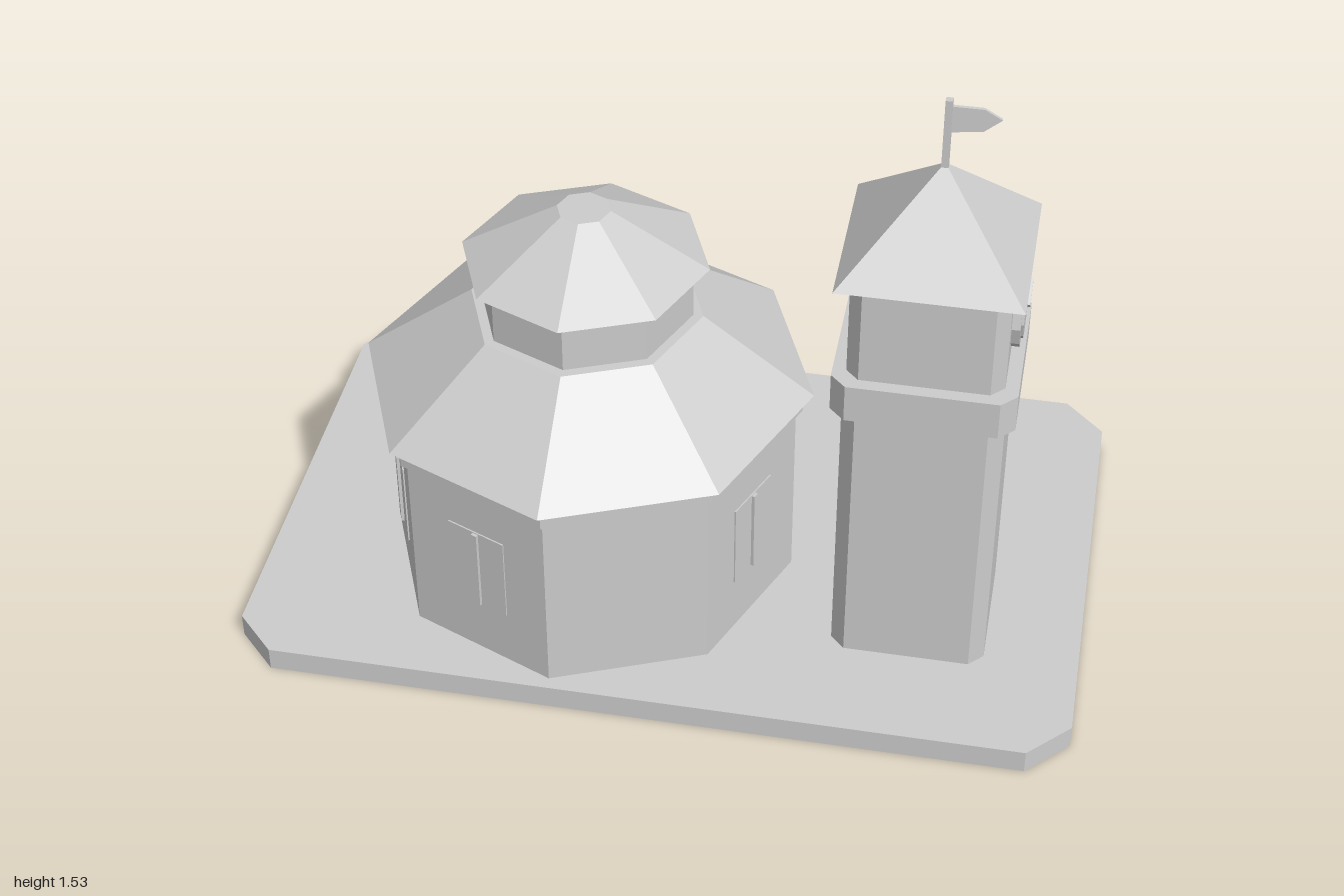
import * as THREE from 'three';

const stone = new THREE.MeshStandardMaterial({ color: 0xcccccc, flatShading: true });
stone.name = 'light grey';

function add(parent, name, geometry, x = 0, y = 0, z = 0) {
  const m = new THREE.Mesh(geometry, stone);
  m.name = name;
  m.position.set(x, y, z);
  parent.add(m);
  return m;
}

// box given by its centre
const box = (p, name, w, h, d, x, y, z) => add(p, name, new THREE.BoxGeometry(w, h, d), x, y, z);

// skin over rectangles with cut corners; each level is [half width, half depth, cut, y]
function skin(p, name, levels, x = 0, z = 0) {
  const pos = [], index = [];
  for (const [a, b, c, y] of levels) {
    pos.push(a, y, b - c, a, y, c - b, a - c, y, -b, c - a, y, -b);
    pos.push(-a, y, c - b, -a, y, b - c, c - a, y, b, a - c, y, b);
  }
  for (let l = 0; l < levels.length - 1; l++) {
    for (let i = 0; i < 8; i++) {
      const a = l * 8 + i, b = l * 8 + (i + 1) % 8;
      index.push(a, b, b + 8, a, b + 8, a + 8);
    }
  }
  const g = new THREE.BufferGeometry();
  g.setAttribute('position', new THREE.Float32BufferAttribute(pos, 3));
  g.setIndex(index);
  g.computeVertexNormals();
  return add(p, name, g, x, 0, z);
}

// eight-sided skin over a profile of [radius, y]
const octagon = (p, name, profile) =>
  add(p, name, new THREE.LatheGeometry(profile.map(([r, y]) => new THREE.Vector2(r, y)), 8));

function makeHall() {
  const hall = new THREE.Group();
  hall.name = 'octagonalHall';
  hall.position.set(-0.224, 0, 0.102);
  octagon(hall, 'hallWall', [[0.5, 0.06], [0.5, 0.55]]);
  octagon(hall, 'hallCornice', [[0.5, 0.55], [0.516, 0.55], [0.516, 0.6]]);
  octagon(hall, 'hallRoof', [[0.516, 0.6], [0.542, 0.6], [0.277, 0.8], [0.253, 0.8]]);
  octagon(hall, 'lanternWall', [[0.253, 0.8], [0.253, 0.937]]);
  octagon(hall, 'lanternRoof', [[0.253, 0.937], [0.292, 0.937], [0.063, 1.072], [0, 1.072]]);
  // windows in the middle of the wall faces
  const apothem = 0.5 * Math.cos(Math.PI / 8);
  for (const deg of [-157.5, -112.5, -67.5, -22.5, 67.5, 112.5, 157.5]) {
    const a = THREE.MathUtils.degToRad(deg);
    const w = new THREE.Group();
    w.name = 'hallWindow';
    w.position.set(Math.sin(a) * apothem, 0.318, Math.cos(a) * apothem);
    w.rotation.y = a;
    box(w, 'windowPane', 0.155, 0.225, 0.007, 0, 0, 0);
    box(w, 'windowBar', 0.015, 0.22, 0.022, 0, 0, 0);
    hall.add(w);
  }
  return hall;
}

function makePorch() {
  const porch = new THREE.Group();
  porch.name = 'porch';
  porch.position.x = -0.225;
  skin(porch, 'porchWall', [[0.2, 0.122, 0.03, 0.06], [0.2, 0.122, 0.03, 0.425]], 0, -0.374);
  // gable roof with its ridge along x
  const s = new THREE.Shape();
  s.moveTo(0.53, 0.417);
  s.lineTo(0.335, 0.565);
  s.lineTo(0.14, 0.417);
  const roof = new THREE.ExtrudeGeometry(s, { depth: 0.466, bevelEnabled: false });
  roof.rotateY(Math.PI / 2);
  add(porch, 'porchRoof', roof, -0.233, 0, 0);
  // door with frame and knob
  box(porch, 'door', 0.27, 0.29, 0.012, 0, 0.225, -0.499);
  for (const side of [-1, 1]) box(porch, 'doorPost', 0.025, 0.31, 0.026, side * 0.145, 0.215, -0.503);
  box(porch, 'doorLintel', 0.34, 0.028, 0.035, 0, 0.378, -0.507);
  add(porch, 'doorKnob', new THREE.SphereGeometry(0.01, 8, 6), -0.09, 0.22, -0.507);
  // steps
  [[0.445, 0.045, 0.65], [0.42, 0.08, 0.61], [0.38, 0.11, 0.567]].forEach(([w, h, z]) => {
    box(porch, 'step', w, h, z - 0.505, 0, h / 2, -(z + 0.505) / 2);
  });
  return porch;
}

function makeClock() {
  const clock = new THREE.Group();
  clock.name = 'clock';
  const disc = new THREE.CylinderGeometry(0.095, 0.095, 0.02, 12);
  disc.rotateX(Math.PI / 2);
  add(clock, 'clockCase', disc, 0, 0, 0.005);
  const face = new THREE.CylinderGeometry(0.075, 0.075, 0.008, 12);
  face.rotateX(Math.PI / 2);
  add(clock, 'clockFace', face, 0, 0, 0.017);
  // hands, turned about the centre
  for (const [length, angle] of [[0.042, 0.8], [0.06, -0.85]]) {
    const g = new THREE.BoxGeometry(0.009, length, 0.008);
    g.translate(0, length / 2, 0);
    add(clock, 'clockHand', g, 0, 0, 0.025).rotation.z = angle;
  }
  return clock;
}

function makeTower() {
  const tower = new THREE.Group();
  tower.name = 'clockTower';
  tower.position.set(0.593, 0, 0.195);
  const shaft = [0.183, 0.18, 0.034], belt = [0.207, 0.205, 0.036], top = [0.176, 0.175, 0.03];
  skin(tower, 'towerShaft', [[...shaft, 0.06], [...shaft, 0.79]]);
  skin(tower, 'towerBelt', [[...shaft, 0.79], [...belt, 0.79], [...belt, 0.885], [...top, 0.885]]);
  skin(tower, 'belfry', [[...top, 0.885], [...top, 1.14]]);
  skin(tower, 'towerRoof', [[...top, 1.14], [0.207, 0.205, 0, 1.14], [0, 0, 0, 1.367]]);

  // clocks on the left side and the back
  const sideClock = makeClock();
  sideClock.position.set(0.18, 1.01, 0);
  sideClock.rotation.y = Math.PI / 2;
  const backClock = makeClock();
  backClock.position.set(0, 1.01, -0.178);
  backClock.rotation.y = Math.PI;
  tower.add(sideClock, backClock);

  // flag on its pole
  box(tower, 'flagPole', 0.016, 0.18, 0.016, 0, 1.438, 0);
  const s = new THREE.Shape();
  s.moveTo(0, -0.033);
  s.lineTo(0.075, -0.03);
  s.lineTo(0.114, 0);
  s.lineTo(0.075, 0.026);
  s.lineTo(0, 0.033);
  const flag = new THREE.ExtrudeGeometry(s, { depth: 0.008, bevelEnabled: false });
  add(tower, 'flag', flag, 0, 1.48, -0.004).rotation.y = 0.14;

  // narrow windows and flower boxes at the back
  for (const x of [-0.083, 0.083]) {
    for (const y of [0.4, 0.59]) box(tower, 'towerWindow', 0.014, 0.125, 0.02, x, y, -0.182);
    box(tower, 'flowerBox', 0.135, 0.038, 0.05, x, 0.308, -0.208);
    for (const dx of [-0.045, 0, 0.045]) {
      box(tower, 'flowerStem', 0.006, 0.025, 0.006, x + dx, 0.335, -0.216);
      add(tower, 'flower', new THREE.IcosahedronGeometry(0.012, 0), x + dx, 0.352, -0.216);
    }
  }
  return tower;
}

export function createModel() {
  const model = new THREE.Group();
  model.name = 'hallWithClockTower';
  const slab = [1, 0.632, 0.098];
  skin(model, 'base', [[0, 0, 0, 0], [...slab, 0], [...slab, 0.06], [0, 0, 0, 0.06]], 0, 0.001);
  model.add(makeHall(), makePorch(), makeTower());
  return model;
}
